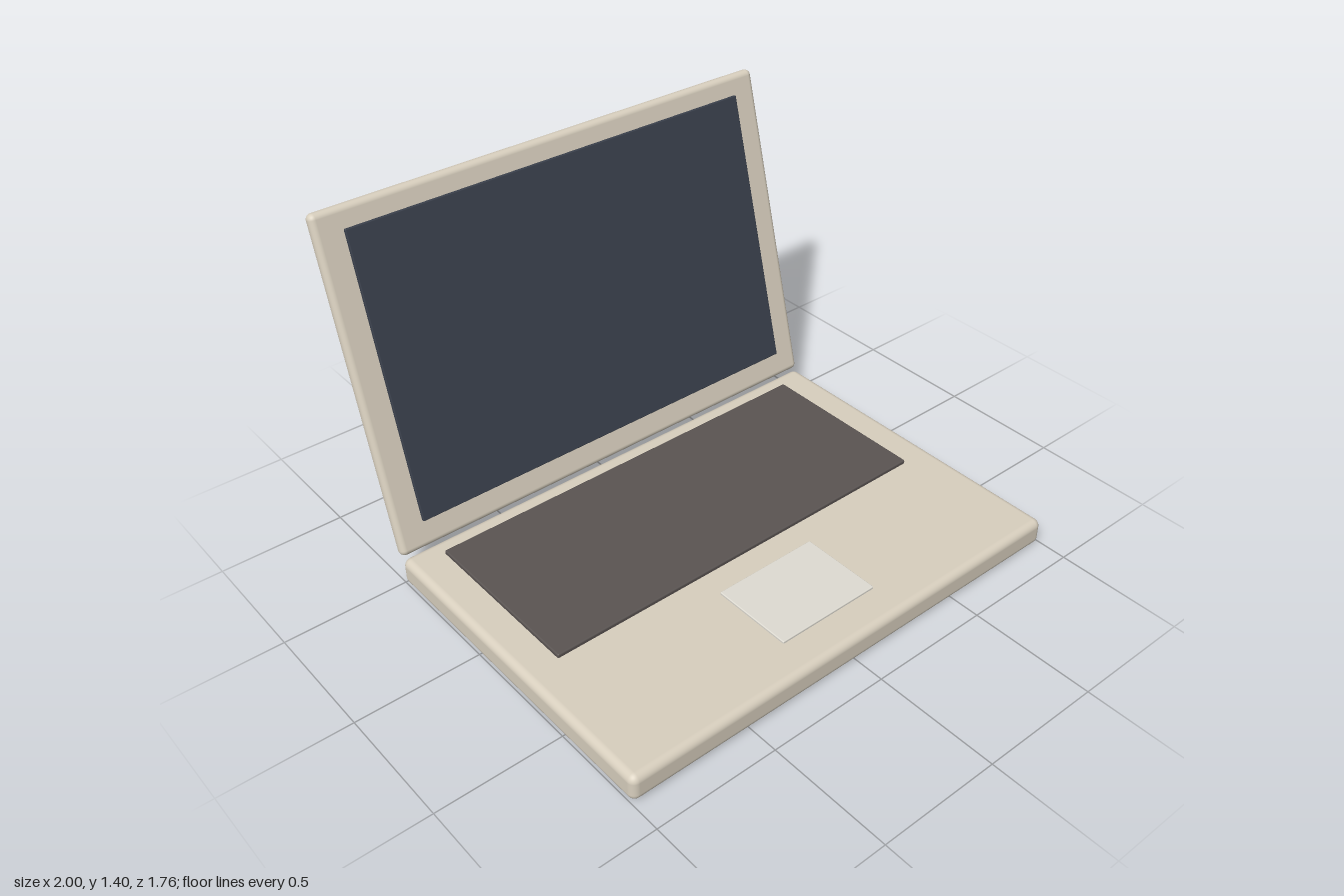
import * as THREE from 'three';
import { RoundedBoxGeometry } from 'three/addons/geometries/RoundedBoxGeometry.js';

const shell = new THREE.MeshStandardMaterial({ color: 0xd8cfbe });
const keys = new THREE.MeshStandardMaterial({ color: 0x5a5452 });
const glass = new THREE.MeshStandardMaterial({ color: 0x3a404c });
const pad = new THREE.MeshStandardMaterial({ color: 0xdedbd2 });

// Rounded slab placed by its centre
function slab(name, [w, h, d], radius, [x, y, z], material) {
  const mesh = new THREE.Mesh(new RoundedBoxGeometry(w, h, d, 5, radius), material);
  mesh.name = name;
  mesh.position.set(x, y, z);
  return mesh;
}

export function createModel() {
  const model = new THREE.Group();
  model.name = 'laptop';

  // Lower half: body, keyboard panel and trackpad, the panels slightly proud
  const lower = new THREE.Group();
  lower.name = 'lowerHalf';
  lower.add(
    slab('base', [2, 0.11, 1.39], 0.03, [0, 0.055, 0.185], shell),
    slab('keyboard', [1.72, 0.03, 0.72], 0.006, [0, 0.11, -0.07], keys),
    slab('trackpad', [0.445, 0.02, 0.335], 0.004, [0, 0.109, 0.568], pad),
  );

  // Lid leaning back 15 degrees, with the screen on its front face
  const lid = new THREE.Group();
  lid.name = 'lid';
  lid.position.set(0, 0.757, -0.687);
  lid.rotation.x = -THREE.MathUtils.degToRad(15);
  lid.add(
    slab('lidShell', [2, 1.33, 0.05], 0.023, [0, 0, 0], shell),
    slab('screen', [1.78, 1.14, 0.02], 0.004, [0, 0.013, 0.027], glass),
  );

  model.add(lower, lid);
  return model;
}
